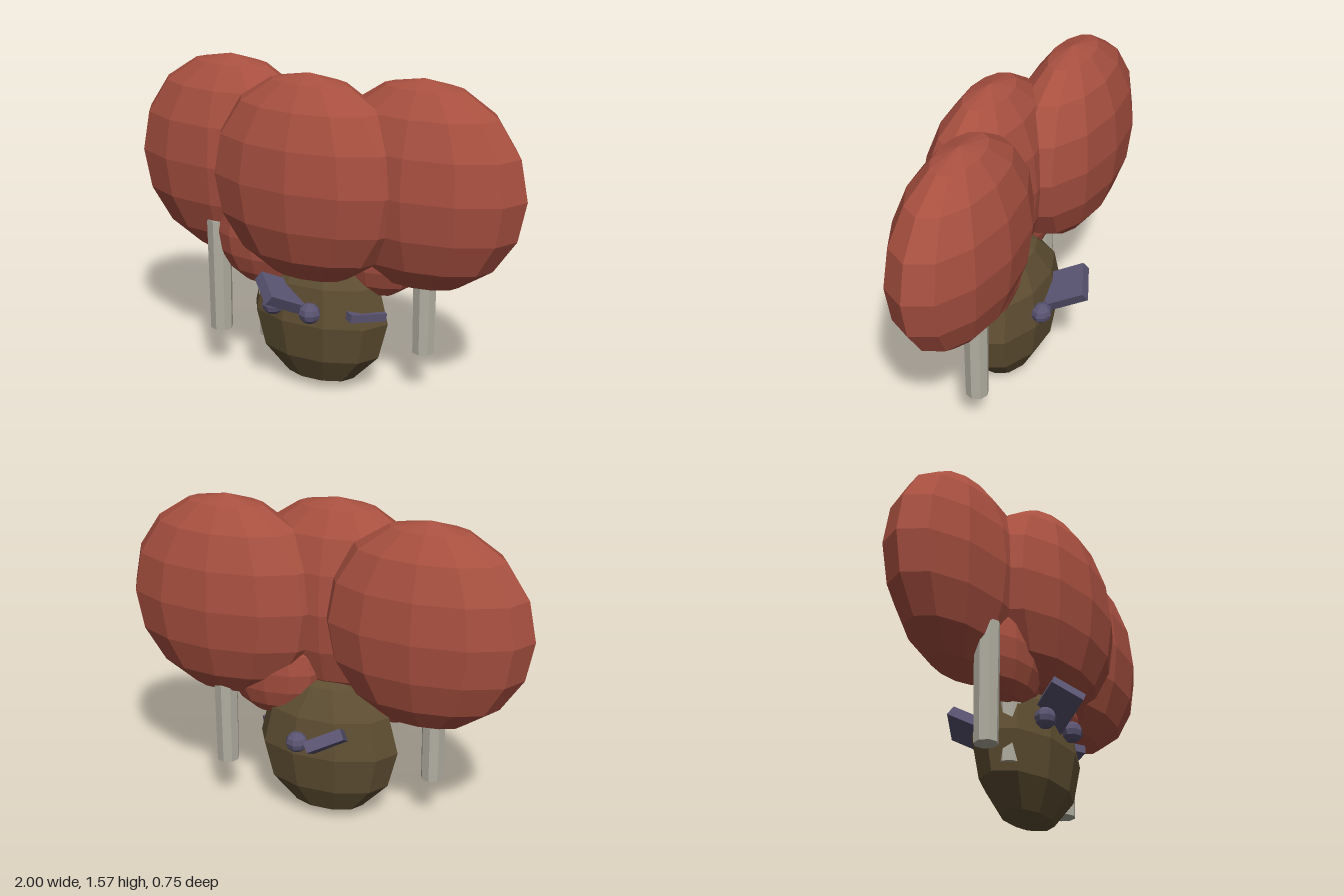
import * as THREE from 'three';

const paint = (color) => new THREE.MeshStandardMaterial({ color, flatShading: true });

export function createModel() {
  const model = new THREE.Group();
  const red = paint(0xa85040);
  const brown = paint(0x5e4e32);
  const purple = paint(0x5a5472);
  const grey = paint(0xb2afa2);

  const add = (name, geometry, material, position) => {
    const mesh = new THREE.Mesh(geometry, material);
    mesh.name = name;
    mesh.position.set(...position);
    model.add(mesh);
    return mesh;
  };

  // Faceted ellipsoid from its centre and three radii
  const blob = (name, material, position, radii, around, up) =>
    add(name, new THREE.SphereGeometry(1, around, up), material, position).scale.set(...radii);

  // Flat block aimed along a direction, with its width along a second one
  const slab = (name, position, along, across, size) => {
    const l = new THREE.Vector3(...along).normalize();
    const t = l.clone().cross(new THREE.Vector3(...across)).normalize();
    const w = t.clone().cross(l);
    const mesh = add(name, new THREE.BoxGeometry(...size), purple, position);
    mesh.quaternion.setFromRotationMatrix(new THREE.Matrix4().makeBasis(w, t, l));
  };

  // Three large lobes and two small ones below them
  blob('centreLobe', red, [0, 1.077, 0.118], [0.5, 0.5, 0.245], 12, 8);
  blob('rightLobe', red, [-0.5, 1.077, -0.047], [0.5, 0.5, 0.245], 12, 8);
  blob('leftLobe', red, [0.5, 1.077, -0.023], [0.5, 0.5, 0.25], 12, 8);
  blob('smallRightLobe', red, [-0.27, 0.75, 0.08], [0.25, 0.25, 0.125], 12, 8);
  blob('smallLeftLobe', red, [0.27, 0.75, -0.025], [0.25, 0.25, 0.125], 12, 8);

  // Body
  blob('body', brown, [0, 0.375, 0.005], [0.355, 0.37, 0.2], 10, 6);

  // Hanging posts, one of them mostly sunk in the body
  for (const [name, x, z] of [
    ['rightPost', -0.5, 0.1],
    ['leftPost', 0.5, -0.085],
    ['innerPost', -0.245, 0.06],
  ]) {
    add(name, new THREE.CylinderGeometry(0.06, 0.055, 0.57, 8), grey, [x, 0.515, z]);
  }

  // Small knobs on the front and back
  for (const [name, x, z] of [
    ['frontRightKnob', -0.158, 0.195],
    ['frontLeftKnob', 0.048, 0.215],
    ['backKnob', 0.08, -0.2],
  ]) {
    blob(name, purple, [x, 0.453, z], [0.055, 0.05, 0.05], 8, 6);
  }

  // Blocks sticking out of the body
  slab('frontBlock', [-0.09, 0.523, 0.21], [-0.42, 0.45, 0.78], [0.11, -0.07, 0.1], [0.165, 0.055, 0.25]);
  slab('backBlock', [-0.085, 0.5, -0.23], [-0.21, 0.48, -0.85], [0.16, -0.075, -0.055], [0.18, 0.055, 0.25]);
  slab('sideBlock', [0.24, 0.435, 0.055], [0.8, -0.05, 0.58], [0.12, -0.03, -0.16], [0.19, 0.04, 0.15]);

  return model;
}
